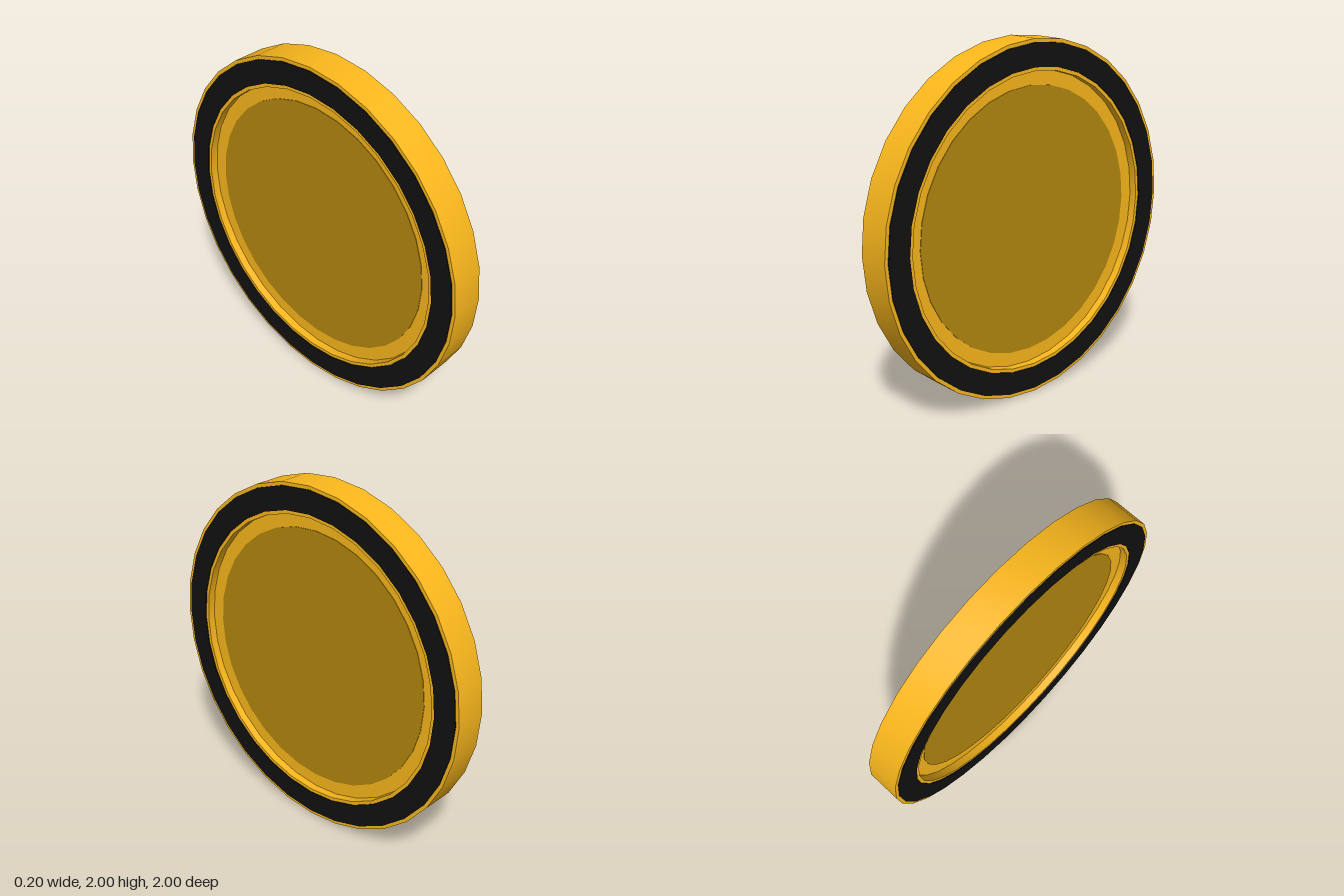
import * as THREE from 'three';
import { toCreasedNormals } from 'three/addons/utils/BufferGeometryUtils.js';

const SEGMENTS = 32;

// Revolve [radius, height] pairs, keeping the profile corners sharp
function revolve(name, profile, material) {
  const points = profile.map(([r, h]) => new THREE.Vector2(r, h));
  const geometry = toCreasedNormals(new THREE.LatheGeometry(points, SEGMENTS), Math.PI / 6);
  const mesh = new THREE.Mesh(geometry, material);
  mesh.name = name;
  return mesh;
}

export function createModel() {
  const gold = new THREE.MeshStandardMaterial({ color: 0xfbb81c });
  const darkGold = new THREE.MeshStandardMaterial({ color: 0xb5890f });
  const black = new THREE.MeshStandardMaterial({ color: 0x111111 });

  const rim = 0.095;   // half thickness at the rim
  const floor = 0.05;  // half thickness at the recessed faces

  const coin = new THREE.Group();
  coin.name = 'coin';

  // Body with a raised rim and a recess on both faces
  coin.add(revolve('coinBody', [
    [0, -floor], [0.83, -floor], [0.83, -rim], [1, -rim],
    [1, rim], [0.83, rim], [0.83, floor], [0, floor],
  ], gold));

  for (const side of [1, -1]) {
    const face = new THREE.Group();
    face.name = side > 0 ? 'leftFace' : 'rightFace';
    // Black band on the rim
    face.add(revolve('rimBand', [
      [0.85, rim - 0.005], [0.98, rim - 0.005], [0.98, 0.1], [0.85, 0.1], [0.85, rim - 0.005],
    ], black));
    // Darker disc in the recess
    face.add(revolve('centreDisc', [
      [0.75, floor - 0.005], [0.75, floor + 0.003], [0, floor + 0.003],
    ], darkGold));
    if (side < 0) face.rotation.x = Math.PI;
    coin.add(face);
  }

  // Stand the coin on edge, faces towards +x and -x
  coin.rotation.z = -Math.PI / 2;
  coin.position.y = 1;

  const model = new THREE.Group();
  model.name = 'standingCoin';
  model.add(coin);
  return model;
}
